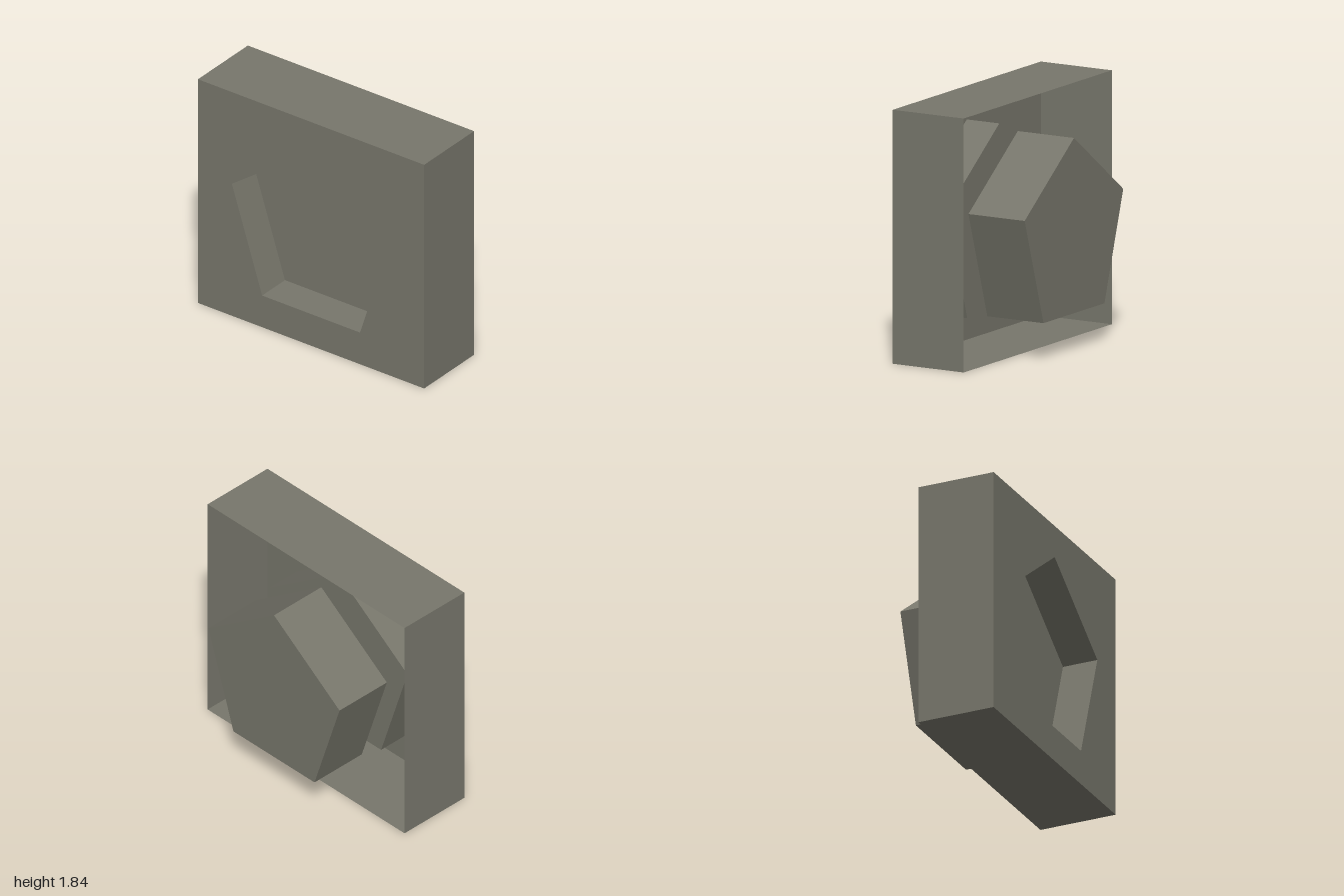
import * as THREE from 'three';

const BACK = -0.45, RIM = 0.14, HEIGHT = 1.835, CENTRE_Y = 0.855;

// Corners of an upright regular pentagon, seen along x
function pentagon(radius) {
  return Array.from({ length: 5 }, (_, i) => {
    const a = Math.PI / 2 + (i * Math.PI * 2) / 5;
    return new THREE.Vector2(Math.cos(a) * radius, CENTRE_Y + Math.sin(a) * radius);
  });
}

// Open flat-sided tube along x through a loop of (z, y) corners
function sleeve(corners, x0, x1) {
  const pos = [];
  corners.forEach((a, i) => {
    const b = corners[(i + 1) % corners.length];
    pos.push(x0, a.y, a.x, x1, b.y, b.x, x1, a.y, a.x);
    pos.push(x0, a.y, a.x, x0, b.y, b.x, x1, b.y, b.x);
  });
  const g = new THREE.BufferGeometry();
  g.setAttribute('position', new THREE.Float32BufferAttribute(pos, 3));
  g.computeVertexNormals();
  return g;
}

export function createModel() {
  const group = new THREE.Group();
  const grey = new THREE.MeshStandardMaterial({ color: 0x77766b, side: THREE.DoubleSide });
  grey.name = 'olive grey';

  const add = (name, geometry) => {
    const mesh = new THREE.Mesh(geometry, grey);
    mesh.name = name;
    group.add(mesh);
    return mesh;
  };

  const square = [[-1, 0], [1, 0], [1, HEIGHT], [-1, HEIGHT]].map(([z, y]) => new THREE.Vector2(z, y));
  const opening = pentagon(0.736);

  // Thin-walled tray, open towards +x
  add('trayWalls', sleeve(square, BACK, RIM));

  // Tray back with a pentagonal opening
  const backShape = new THREE.Shape(square);
  backShape.holes.push(new THREE.Path(opening));
  add('trayBack', new THREE.ShapeGeometry(backShape).rotateY(-Math.PI / 2)).position.x = BACK;

  // Closed recess pressed into the back
  add('recessWalls', sleeve(opening, BACK, -0.18));
  add('recessFloor', new THREE.ShapeGeometry(new THREE.Shape(opening)).rotateY(-Math.PI / 2)).position.x = -0.18;

  // Slightly smaller pentagonal plug standing out of the open side
  const plug = new THREE.ExtrudeGeometry(new THREE.Shape(pentagon(0.7)), { depth: 0.467, bevelEnabled: false });
  add('plug', plug.rotateY(Math.PI / 2)).position.set(-0.02, 0, 0.01);

  return group;
}
